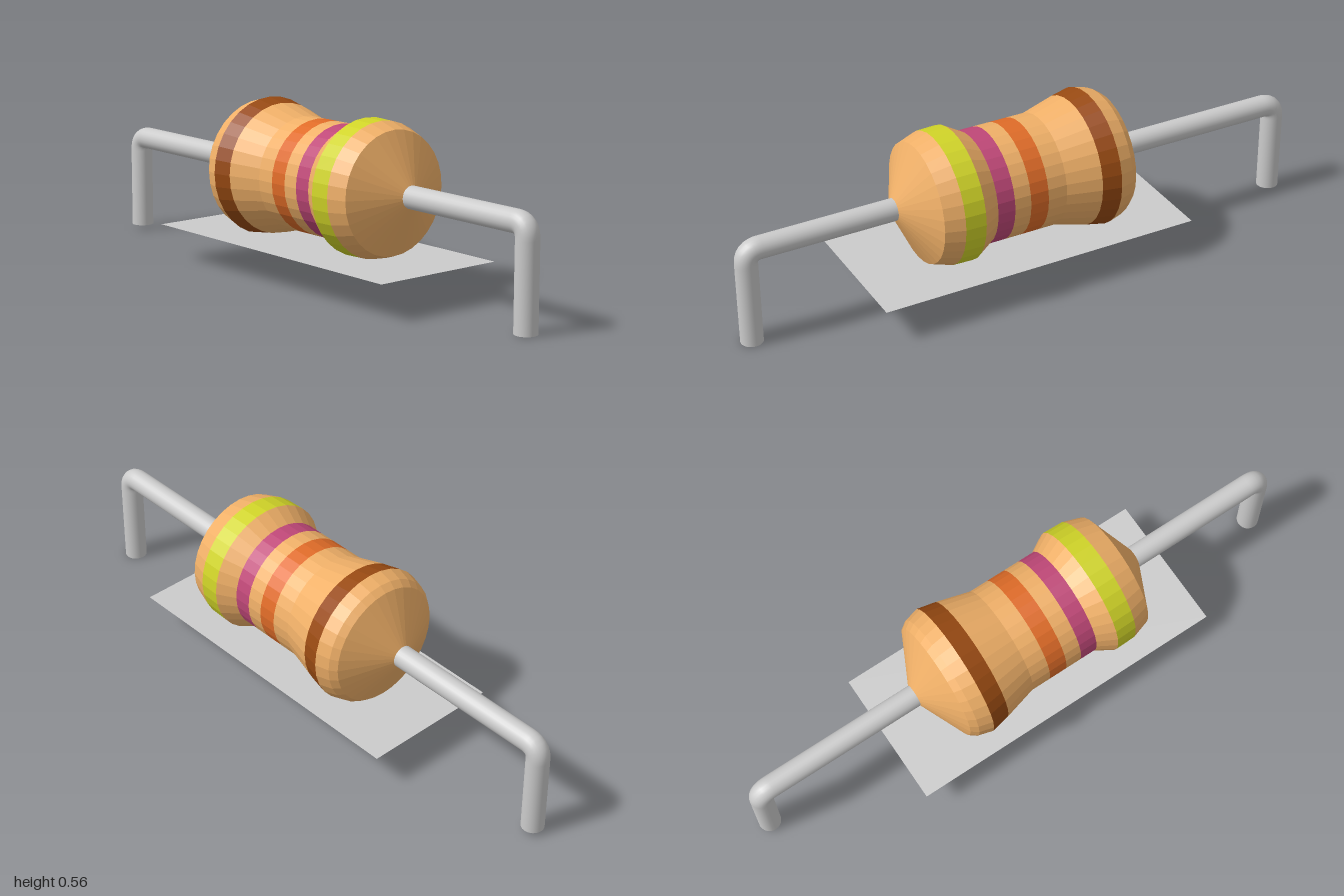
import * as THREE from 'three';

const AXIS_X = 0.006, AXIS_Y = 0.331, WIRE_R = 0.037;

// Body sections from back to front: name, colour, profile of [radius, z]
const SECTIONS = [
  ['backEnd', 0xf0b068, [[0.036, -0.385], [0.2, -0.303], [0.217, -0.28], [0.23, -0.233]]],
  ['brownBand', 0x984a12, [[0.23, -0.233], [0.217, -0.17]]],
  ['waistBack', 0xf0b068, [[0.217, -0.17], [0.187, -0.056], [0.187, 0.01]]],
  ['orangeBand', 0xe06c28, [[0.187, 0.01], [0.187, 0.073]]],
  ['waistFront', 0xf0b068, [[0.187, 0.073], [0.187, 0.13]]],
  ['magentaBand', 0xc04878, [[0.187, 0.13], [0.187, 0.19]]],
  ['shoulderFront', 0xf0b068, [[0.187, 0.19], [0.222, 0.25]]],
  ['limeBand', 0xd0d428, [[0.222, 0.25], [0.22, 0.32]]],
  ['frontEnd', 0xf0b068, [[0.22, 0.32], [0.2, 0.383], [0.036, 0.463]]],
];

function createBody() {
  const body = new THREE.Group();
  body.name = 'body';
  for (const [name, color, profile] of SECTIONS) {
    const points = profile.map(([r, z]) => new THREE.Vector2(r, z));
    const mesh = new THREE.Mesh(
      new THREE.LatheGeometry(points, 32),
      new THREE.MeshStandardMaterial({ color, flatShading: true })
    );
    mesh.name = name;
    body.add(mesh);
  }
  body.rotation.x = Math.PI / 2;
  body.position.set(AXIS_X, AXIS_Y, 0);
  return body;
}

// Wire leaving the body along z and bending down to footY
function createLead(name, side, startZ, footY, material) {
  const lead = new THREE.Group();
  lead.name = name;
  const endZ = side * (1 - WIRE_R), bend = 0.045;
  const p = (y, z) => new THREE.Vector3(AXIS_X, y, z);
  const path = new THREE.CurvePath();
  path.add(new THREE.LineCurve3(p(AXIS_Y, side * startZ), p(AXIS_Y, endZ - side * bend)));
  path.add(new THREE.QuadraticBezierCurve3(
    p(AXIS_Y, endZ - side * bend), p(AXIS_Y, endZ), p(AXIS_Y - bend, endZ)));
  path.add(new THREE.LineCurve3(p(AXIS_Y - bend, endZ), p(footY, endZ)));
  const wire = new THREE.Mesh(new THREE.TubeGeometry(path, 90, WIRE_R, 24), material);
  wire.name = name + 'Wire';

  // Flat cut end
  const cap = new THREE.Mesh(new THREE.CircleGeometry(WIRE_R, 24), material);
  cap.name = name + 'Cap';
  cap.rotation.x = Math.PI / 2;
  cap.position.set(AXIS_X, footY, endZ);
  lead.add(wire, cap);
  return lead;
}

export function createModel() {
  const model = new THREE.Group();
  model.name = 'resistor';
  const metal = new THREE.MeshStandardMaterial({ color: 0xcccccc });

  model.add(createBody());
  model.add(createLead('frontLead', 1, 0.4, 0, metal));
  model.add(createLead('backLead', -1, 0.33, 0.015, metal));

  // Thin sheet under the body, pierced by its two bulges
  const sheet = new THREE.Mesh(
    new THREE.PlaneGeometry(0.47, 1.11),
    new THREE.MeshStandardMaterial({ color: 0xcccccc, side: THREE.DoubleSide })
  );
  sheet.name = 'baseSheet';
  sheet.rotation.x = -Math.PI / 2;
  sheet.position.set(-0.005, 0.12, 0.047);
  model.add(sheet);
  return model;
}
